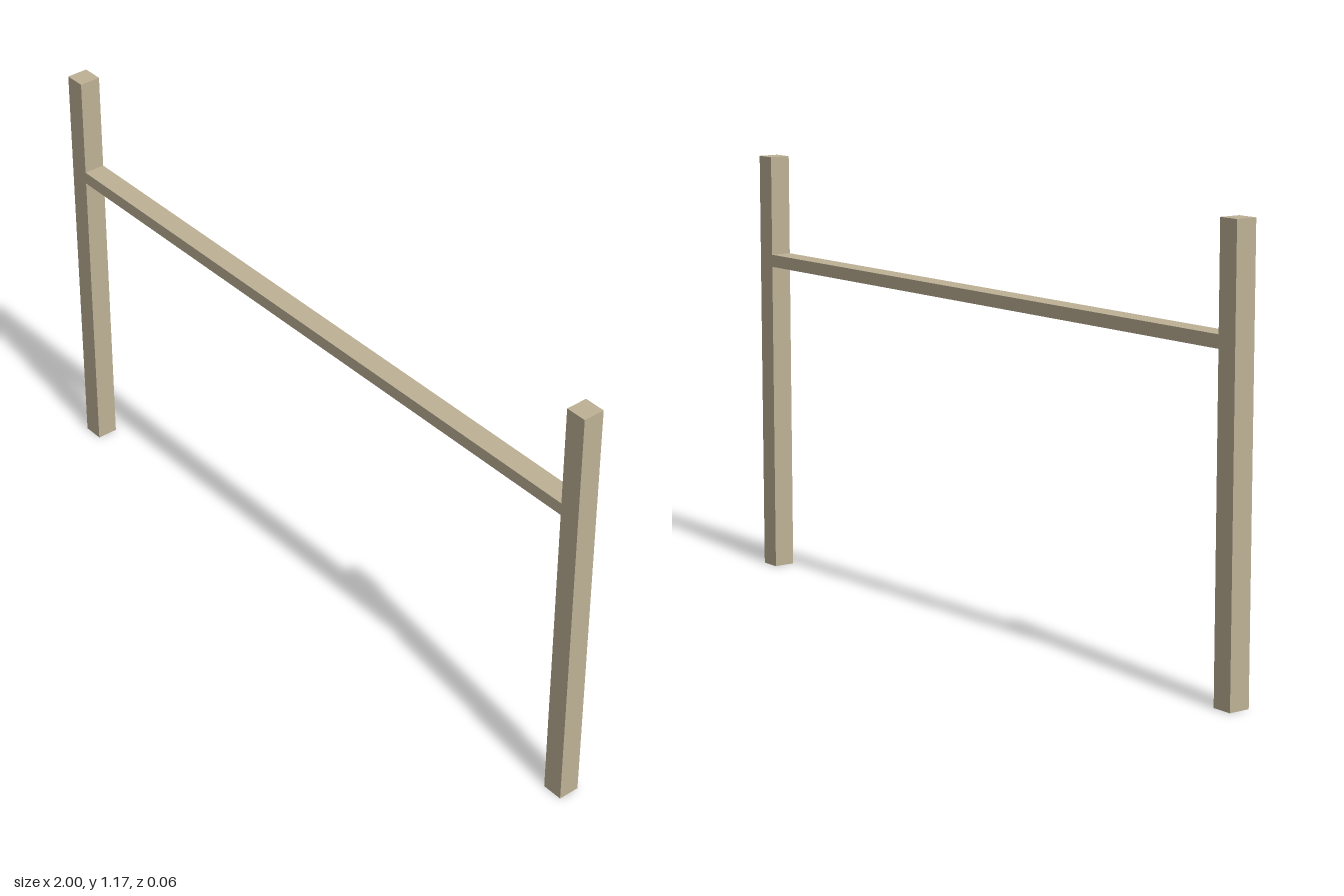
import * as THREE from 'three';

export function createModel() {
  const group = new THREE.Group();
  group.name = 'postAndRailFrame';

  const paleWood = new THREE.MeshStandardMaterial({ color: 0xbfb397 });
  paleWood.name = 'paleWood';

  const postWidth = 0.058, postHeight = 1.166, depth = 0.059;
  const railBottom = 0.859, railTop = 0.893;

  function addBeam(name, width, height, x, y) {
    const beam = new THREE.Mesh(new THREE.BoxGeometry(width, height, depth), paleWood);
    beam.name = name;
    beam.position.set(x, y, 0);
    group.add(beam);
  }

  // Upright posts, mirrored about the centre
  for (const side of [-1, 1]) {
    addBeam(side > 0 ? 'leftPost' : 'rightPost', postWidth, postHeight,
      side * (1 - postWidth / 2), postHeight / 2);
  }

  // Cross rail, butted between the posts
  addBeam('crossRail', 2 - 2 * postWidth, railTop - railBottom, 0, (railTop + railBottom) / 2);

  return group;
}
